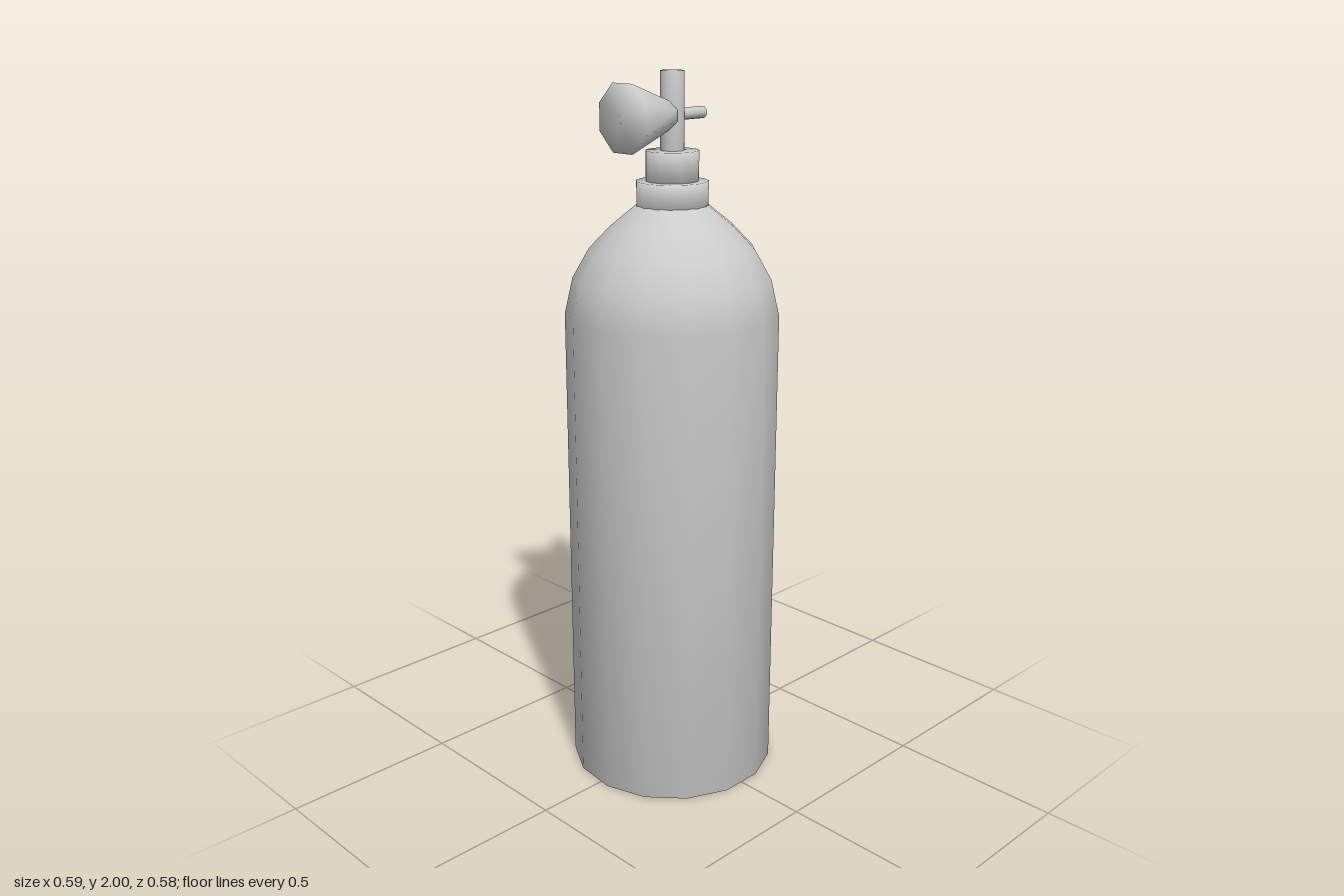
import * as THREE from 'three';

const material = new THREE.MeshStandardMaterial({ color: 0xcccccc });

// Smooth turned solid from [radius, height] pairs, listed bottom to top
function turned(name, profile, sides, phiStart = 0) {
  const points = profile.map(([r, y]) => new THREE.Vector2(r, y));
  const mesh = new THREE.Mesh(new THREE.LatheGeometry(points, sides, phiStart), material);
  mesh.name = name;
  return mesh;
}

// Capped, tapered rod between two heights
const rod = (name, r0, y0, r1, y1, sides, phiStart) =>
  turned(name, [[0, y0], [r0, y0], [r1, y1], [0, y1]], sides, phiStart);

export function createModel() {
  const group = new THREE.Group();
  group.name = 'gasCylinder';

  // Tank with flat base and domed shoulder
  group.add(turned('tank', [
    [0, 0], [0.295, 0], [0.295, 1.355], [0.272, 1.455], [0.226, 1.535],
    [0.168, 1.595], [0.1, 1.65], [0, 1.68],
  ], 15, Math.PI));

  // Stepped neck and valve stem
  group.add(rod('neckRing', 0.098, 1.62, 0.098, 1.715, 15));
  group.add(rod('valveCollar', 0.072, 1.70, 0.072, 1.795, 15));
  group.add(rod('valveStem', 0.032, 1.78, 0.032, 2.0, 16));

  // Valve axis: local +y points toward -x
  const valve = new THREE.Group();
  valve.name = 'valve';
  valve.position.y = 1.887;
  valve.rotation.z = Math.PI / 2;
  valve.add(rod('flaredKnob', 0.036, 0.013, 0.095, 0.178, 8, Math.PI / 8));
  valve.add(rod('outletPin', 0.016, -0.115, 0.016, 0, 12));
  group.add(valve);

  return group;
}
